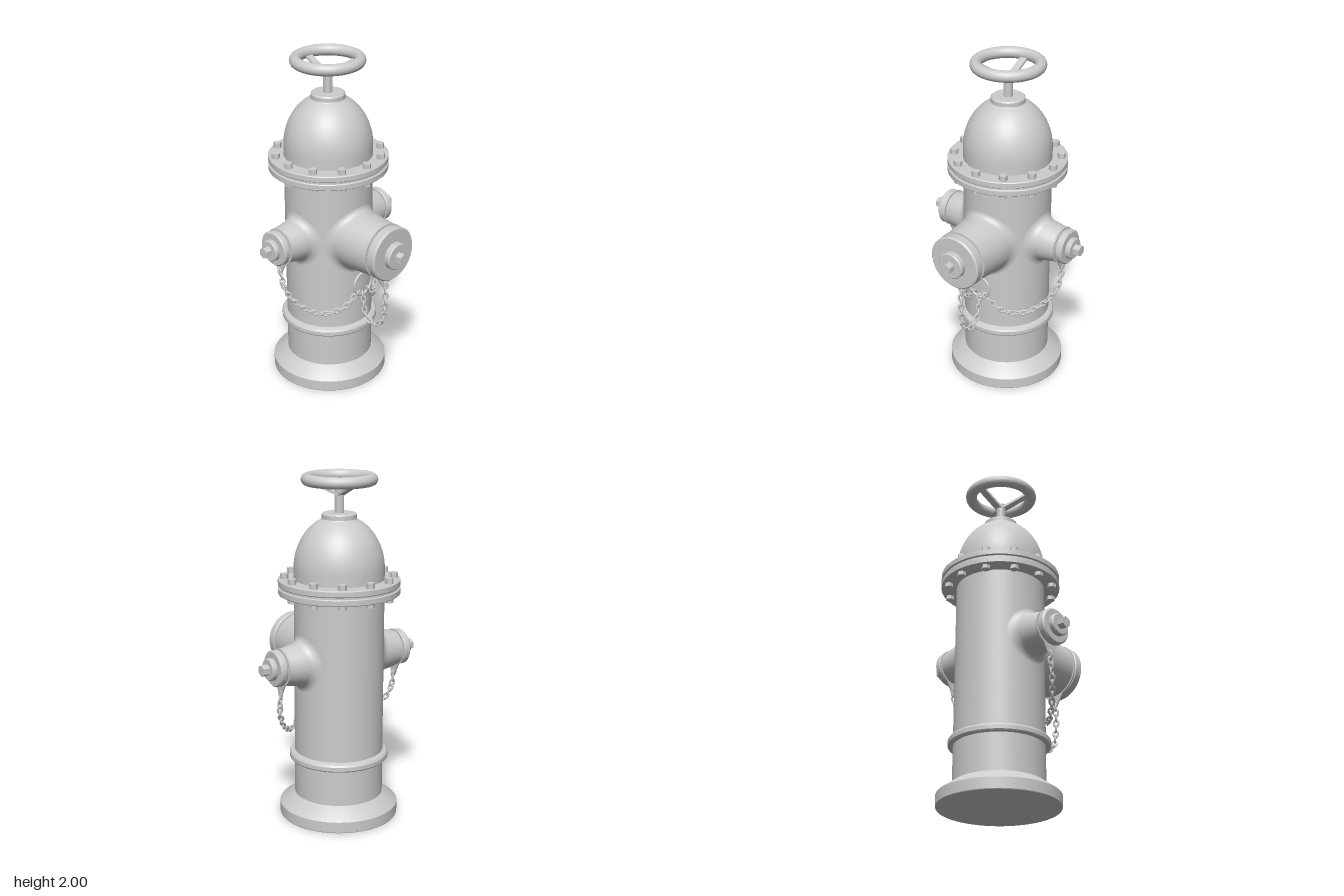
import * as THREE from 'three';
import { toCreasedNormals } from 'three/addons/utils/BufferGeometryUtils.js';

const R = 0.257;        // barrel radius
const AXIS_Z = -0.13;   // barrel axis
const NOZZLE_Y = 0.945;
const material = new THREE.MeshStandardMaterial({ color: 0xcccccc });

function add(parent, name, geometry, x = 0, y = 0, z = 0) {
  const mesh = new THREE.Mesh(geometry, material);
  mesh.name = name;
  mesh.position.set(x, y, z);
  parent.add(mesh);
  return mesh;
}

// Turned part from [radius, height] pairs, listed bottom to top
function turned(points, segments = 64) {
  const profile = points.map(([r, h]) => new THREE.Vector2(r, h));
  return toCreasedNormals(new THREE.LatheGeometry(profile, segments), 0.4);
}

// Disc profile with small bevels
const disc = (r, y0, y1, b = 0.006) =>
  [[0, y0], [r - b, y0], [r, y0 + b], [r, y1 - b], [r - b, y1], [0, y1]];

// Tapered spout along +z that flares smoothly into the barrel
function spoutGeometry(rootR, tipR, fillet, end) {
  const n = 64, steps = 10, pos = [], idx = [];
  const surface = (r, a) => Math.sqrt(R * R - (r * Math.cos(a)) ** 2);
  for (let j = 0; j <= steps + 1; j++) {
    for (let i = 0; i < n; i++) {
      const a = (i / n) * Math.PI * 2;
      let r = tipR, d = end;
      if (j <= steps) {
        const t = j / steps, w0 = (1 - t) ** 2, w1 = 2 * t * (1 - t), w2 = t * t;
        const outer = rootR + fillet, s = surface(rootR, a);
        r = w0 * outer + (w1 + w2) * rootR;
        d = w0 * (surface(outer, a) - 0.001) + w1 * s + w2 * (s + fillet);
      }
      pos.push(r * Math.cos(a), r * Math.sin(a), d);
      if (j <= steps) {
        const p = j * n + i, q = j * n + (i + 1) % n;
        idx.push(p, q, q + n, p, q + n, p + n);
      }
    }
  }
  const g = new THREE.BufferGeometry();
  g.setAttribute('position', new THREE.Float32BufferAttribute(pos, 3));
  g.setIndex(idx);
  g.computeVertexNormals();
  return g;
}

// Thin round plate with a pierced lug hanging below
function lugPlateGeometry(r, tip, half) {
  const shape = new THREE.Shape();
  const spread = Math.asin(half / r);
  shape.absarc(0, 0, r, -Math.PI / 2 + spread, Math.PI * 1.5 - spread, false);
  shape.lineTo(-0.014, -tip + 0.008);
  shape.lineTo(-0.006, -tip);
  shape.lineTo(0.006, -tip);
  shape.lineTo(0.014, -tip + 0.008);
  shape.closePath();
  const hole = new THREE.Path();
  hole.absarc(0, -tip + 0.02, 0.009, 0, Math.PI * 2, true);
  shape.holes.push(hole);
  return new THREE.ExtrudeGeometry(shape, { depth: 0.007, bevelEnabled: false, curveSegments: 48 });
}

// Complete outlet facing +z, then turned by angle around the barrel axis
function addOutlet(parent, name, angle, o) {
  const g = new THREE.Group();
  g.name = name;
  g.position.set(0, NOZZLE_Y, AXIS_Z);
  g.rotation.y = angle;
  parent.add(g);
  add(g, 'spout', spoutGeometry(o.rootR, o.tipR, o.fillet, o.end));
  const along = (partName, geo) => { add(g, partName, geo).rotation.x = Math.PI / 2; };
  along('spoutEnd', turned([[o.tipR, o.end], [o.tipR - 0.008, o.end + 0.003],
    [o.tipR - 0.008, o.cap], [0, o.cap]]));
  add(g, 'chainPlate', lugPlateGeometry(o.plateR, o.lug, o.lugHalf), 0, 0, o.end + 0.005);
  along('cap', turned(disc(o.capR, o.cap, o.capEnd, 0.008)));
  along('capBoss', turned(disc(o.bossR, o.capEnd - 0.002, o.bossEnd)));
  const nut = new THREE.CylinderGeometry(0.033, 0.033, o.nutEnd - o.bossEnd + 0.004, 6);
  nut.translate(0, (o.nutEnd + o.bossEnd) / 2 - 0.002, 0);
  along('capNut', toCreasedNormals(nut, 0.4));
}

// Chain of interlocking oval links along a curve
function addChain(parent, name, points) {
  const g = new THREE.Group();
  g.name = name;
  parent.add(g);
  const curve = new THREE.CatmullRomCurve3(points.map(p => new THREE.Vector3(...p)));
  const count = Math.round(curve.getLength() / 0.033);
  const link = new THREE.TorusGeometry(0.0135, 0.0055, 8, 16);
  link.scale(1, 1.5, 1);
  const up = new THREE.Vector3(0, 1, 0);
  for (let i = 0; i <= count; i++) {
    const p = curve.getPointAt(i / count), t = curve.getTangentAt(i / count);
    const mesh = add(g, 'link', link, p.x, p.y, p.z);
    mesh.quaternion.setFromUnitVectors(up, t);
    mesh.rotateY(Math.PI / 4 + (i % 2) * Math.PI / 2);
  }
}

export function createModel() {
  const model = new THREE.Group();
  model.name = 'hydrant';
  const column = new THREE.Group();
  column.name = 'column';
  column.position.z = AXIS_Z;
  model.add(column);

  // Base, barrel and collar ring
  add(column, 'barrel', turned([[0, 0], [0.343, 0], [0.345, 0.004], [0.345, 0.066], [0.34, 0.072],
    [R, 0.13], [R, 0.345], [0.282, 0.345], [0.287, 0.352], [0.287, 0.375], [0.28, 0.386],
    [R, 0.395], [R, 1.33]], 96));

  // Bolted flanges
  add(column, 'lowerFlange', turned(disc(0.346, 1.325, 1.362, 0.004), 96));
  add(column, 'gasket', turned(disc(0.335, 1.36, 1.376, 0.001), 96));
  add(column, 'upperFlange', turned(disc(0.346, 1.374, 1.41, 0.004), 96));
  const bolt = toCreasedNormals(new THREE.CylinderGeometry(0.025, 0.025, 0.138, 6), 0.4);
  for (let i = 0; i < 12; i++) {
    const a = (i / 12) * Math.PI * 2;
    add(column, 'bolt', bolt, 0.309 * Math.sin(a), 1.371, 0.309 * Math.cos(a));
  }

  // Dome bonnet and its top collar
  const dome = [[R, 1.4]];
  for (let i = 0; i <= 20; i++) {
    const a = (i / 20) * 1.2;
    dome.push([R * Math.cos(a), 1.465 + 0.305 * Math.sin(a)]);
  }
  dome.push([0, 1.755]);
  add(column, 'dome', turned(dome, 96));
  add(column, 'topCollar', turned([[0.108, 1.735], [0.098, 1.75], [0.098, 1.773], [0.09, 1.781], [0, 1.781]]));

  // Stem and handwheel
  const wheel = new THREE.Group();
  wheel.name = 'handwheel';
  column.add(wheel);
  add(wheel, 'stem', toCreasedNormals(new THREE.CylinderGeometry(0.027, 0.027, 0.14, 24), 0.6), 0, 1.84, 0);
  add(wheel, 'rim', new THREE.TorusGeometry(0.181, 0.033, 20, 72), 0, 1.967, 0).rotation.x = Math.PI / 2;
  const spoke = new THREE.BoxGeometry(0.044, 0.014, 0.18);
  spoke.rotateX(0.45);
  spoke.translate(0, 1.918, -0.085);
  for (let i = 0; i < 3; i++) add(wheel, 'spoke', spoke).rotation.y = (i * Math.PI * 2) / 3;

  // Outlets: large front one and a mirrored pair at the sides
  addOutlet(model, 'frontOutlet', 0, {
    rootR: 0.175, tipR: 0.16, fillet: 0.042, end: 0.451, plateR: 0.164, lug: 0.235, lugHalf: 0.065,
    cap: 0.468, capR: 0.162, capEnd: 0.526, bossR: 0.08, bossEnd: 0.565, nutEnd: 0.607 });
  for (const s of [1, -1]) {
    addOutlet(model, s > 0 ? 'leftOutlet' : 'rightOutlet', s * Math.PI / 2, {
      rootR: 0.118, tipR: 0.104, fillet: 0.055, end: 0.381, plateR: 0.109, lug: 0.17, lugHalf: 0.05,
      cap: 0.396, capR: 0.104, capEnd: 0.44, bossR: 0.064, bossEnd: 0.472, nutEnd: 0.513 });
  }

  // Chain ring hanging from a small lug under the front outlet
  add(model, 'ringLug', new THREE.BoxGeometry(0.03, 0.06, 0.012), 0, 0.755, 0.155);
  add(model, 'chainRing', new THREE.TorusGeometry(0.07, 0.008, 12, 48), 0, 0.665, 0.155);

  // Chains
  for (const s of [1, -1]) {
    addChain(model, s > 0 ? 'leftChain' : 'rightChain', [
      [s * 0.39, 0.785, -0.13], [s * 0.38, 0.67, -0.105], [s * 0.32, 0.56, -0.045],
      [s * 0.22, 0.5, 0.04], [s * 0.12, 0.535, 0.12], [s * 0.045, 0.615, 0.153]]);
  }
  addChain(model, 'frontChain', [[0, 0.72, 0.335], [0, 0.58, 0.335], [0, 0.47, 0.31],
    [0, 0.425, 0.245], [0, 0.46, 0.185], [0, 0.59, 0.156]]);

  return model;
}
